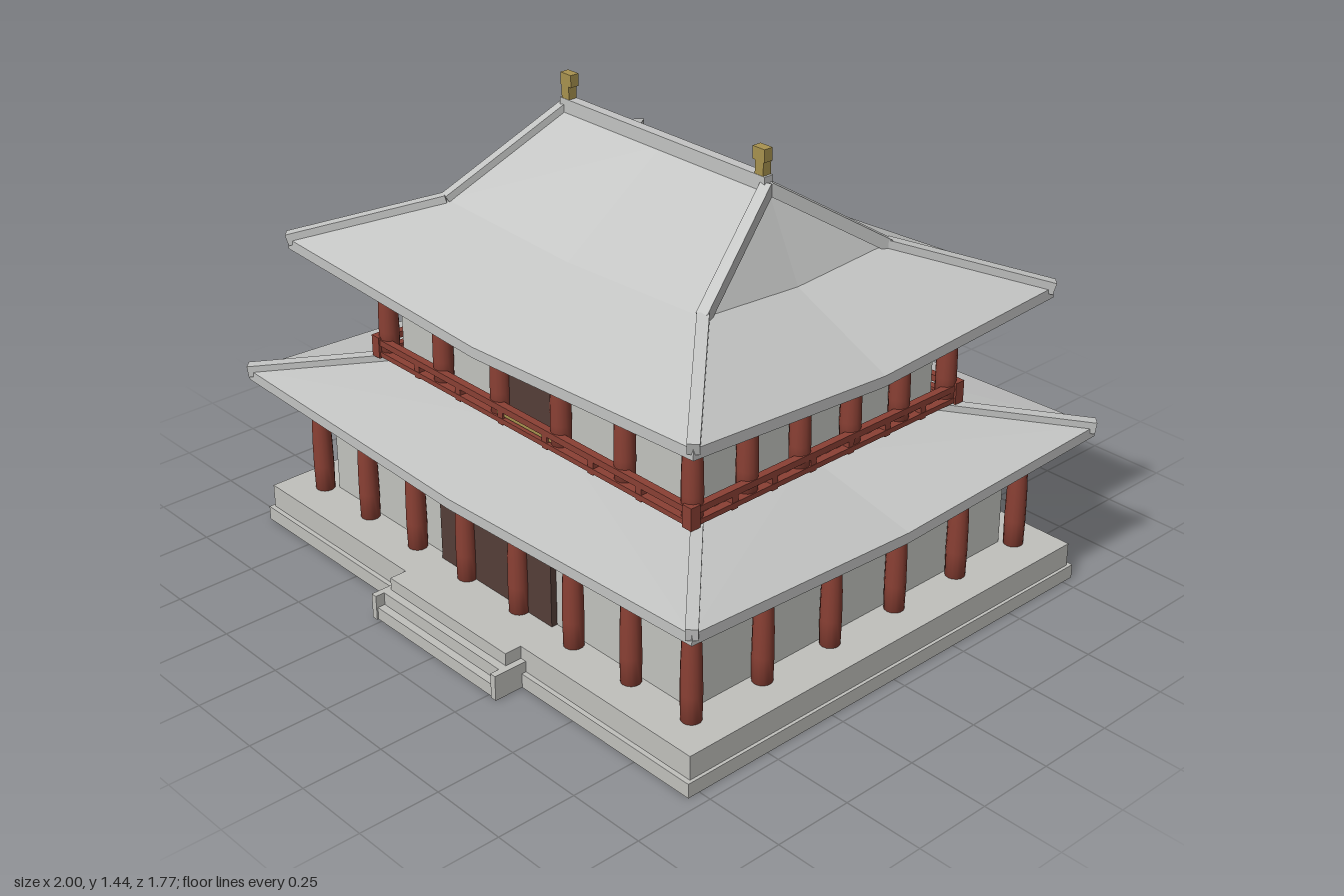
import * as THREE from 'three';

const mat = (name, color, extra = {}) => {
  const m = new THREE.MeshStandardMaterial({ color, ...extra });
  m.name = name;
  return m;
};

export function createModel() {
  const stone = mat('stone', 0xc0c0bc);
  const plaster = mat('plaster', 0xc2c3be);
  const tile = mat('roof tile', 0xc3c4c3);
  const red = mat('red timber', 0x8a4034);
  const dark = mat('dark timber', 0x543e38);
  const gold = mat('gold', 0xa8924f);

  const root = new THREE.Group();
  root.name = 'pavilion';

  const add = (name, geo, material, parent = root) => {
    const m = new THREE.Mesh(geo, material);
    m.name = name;
    parent.add(m);
    return m;
  };
  // Box given by its limits on each axis
  const box = (name, material, x0, x1, y0, y1, z0, z1, parent = root) => {
    const m = add(name, new THREE.BoxGeometry(x1 - x0, y1 - y0, z1 - z0), material, parent);
    m.position.set((x0 + x1) / 2, (y0 + y1) / 2, (z0 + z1) / 2);
    return m;
  };
  const slab = (name, material, x, y0, y1, z, parent) => box(name, material, -x, x, y0, y1, -z, z, parent);
  const group = (name) => {
    const g = new THREE.Group();
    g.name = name;
    root.add(g);
    return g;
  };

  // Two-tier stone platform
  slab('platformBase', stone, 0.96, 0, 0.045, 0.79);
  slab('platformTop', stone, 0.95, 0.045, 0.12, 0.775);

  // Stairs with cheek walls, front and back
  for (const s of [1, -1]) {
    const stairs = group(s > 0 ? 'frontStairs' : 'backStairs');
    [[0.04, 0.88], [0.08, 0.855], [0.12, 0.83]].forEach(([h, z]) =>
      box('step', stone, -0.265, 0.265, 0, h, 0.76, z, stairs));
    for (const x of [-0.275, 0.275]) box('cheekWall', stone, x - 0.01, x + 0.01, 0, 0.08, 0.76, 0.885, stairs);
    if (s < 0) stairs.rotation.y = Math.PI;
  }

  // Evenly spaced points around a rectangle, corners included once
  const perimeter = (x, z, nx, nz) => {
    const pts = [];
    for (let i = 0; i < nx; i++) for (const s of [1, -1]) pts.push([-x + (2 * x * i) / (nx - 1), s * z]);
    for (let i = 1; i < nz - 1; i++) for (const s of [1, -1]) pts.push([s * x, -z + (2 * z * i) / (nz - 1)]);
    return pts;
  };

  // Swelling columns with square capitals
  const colonnade = (name, x, z, nx, nz, y0, y1) => {
    const g = group(name);
    const h = y1 - y0;
    const profile = [[0, 0], [0.03, 0], [0.0315, 0.25], [0.0305, 0.5], [0.027, 0.75], [0.022, 0.95], [0.0, 0.95]]
      .map(([r, t]) => new THREE.Vector2(r, t * h));
    const shaft = new THREE.LatheGeometry(profile, 14);
    for (const [px, pz] of perimeter(x, z, nx, nz)) {
      add('column', shaft, red, g).position.set(px, y0, pz);
      box('capital', red, px - 0.032, px + 0.032, y1 - 0.022, y1, pz - 0.032, pz + 0.032, g);
    }
  };

  // Lower storey
  slab('lowerWall', plaster, 0.8, 0.12, 0.42, 0.63);
  box('lowerDoor', dark, -0.25, 0.25, 0.12, 0.37, 0.6, 0.65);
  box('lowerLintel', gold, -0.265, 0.265, 0.367, 0.402, 0.6, 0.688);
  colonnade('lowerColumns', 0.832, 0.66, 8, 6, 0.12, 0.457);

  // Upper storey
  slab('balconyFloor', red, 0.69, 0.587, 0.6, 0.53);
  slab('upperWall', plaster, 0.635, 0.58, 0.86, 0.475);
  box('upperDoor', dark, -0.125, 0.125, 0.6, 0.81, 0.45, 0.495);
  box('upperLintel', gold, -0.175, 0.175, 0.806, 0.83, 0.45, 0.533);
  box('doorSill', gold, -0.13, 0.13, 0.613, 0.624, 0.45, 0.53);
  colonnade('upperColumns', 0.665, 0.503, 6, 6, 0.6, 0.892);

  // Balcony railing
  const railing = group('railing');
  const rx = 0.685, rz = 0.525;
  for (const [y0, y1, w] of [[0.628, 0.648, 0.012], [0.592, 0.608, 0.012]]) {
    for (const s of [1, -1]) {
      box('rail', red, -rx, rx, y0, y1, s * rz - w, s * rz + w, railing);
      box('rail', red, s * rx - w, s * rx + w, y0, y1, -rz, rz, railing);
    }
  }
  for (const [x, z] of perimeter(rx, rz, 8, 8)) {
    const corner = Math.abs(x) > rx - 0.01 && Math.abs(z) > rz - 0.01;
    const w = corner ? 0.017 : 0.011;
    box('railPost', red, x - w, x + w, 0.587, corner ? 0.656 : 0.646, z - w, z + w, railing);
  }

  // Eight-point ring: corners sit higher than side middles
  const signs = [[1, 1], [1, 0], [1, -1], [0, -1], [-1, -1], [-1, 0], [-1, 1], [0, 1]];
  const ring = (x, z, yCorner, yMid) =>
    signs.map(([a, b]) => new THREE.Vector3(a * x, a && b ? yCorner : yMid, b * z));
  const loft = (rings) => {
    const pts = [];
    for (let k = 0; k + 1 < rings.length; k++) {
      const a = rings[k], b = rings[k + 1];
      for (let i = 0; i < 8; i++) {
        const j = (i + 1) % 8;
        // diagonals run from the corners so that both halves mirror
        if (i % 2 === 0) pts.push(a[i], a[j], b[j], a[i], b[j], b[i]);
        else pts.push(a[i], a[j], b[i], a[j], b[j], b[i]);
      }
    }
    const geo = new THREE.BufferGeometry().setFromPoints(pts);
    geo.computeVertexNormals();
    return geo;
  };

  // Square bar laid between two points
  const bar = (name, a, b, w, h, material, parent) => {
    const m = add(name, new THREE.BoxGeometry(w, h, a.distanceTo(b)), material, parent);
    m.position.copy(a).lerp(b, 0.5);
    m.lookAt(b);
  };

  // Roof: tiled loft, dark soffit, bars along the hips
  const roof = (name, eave, upperRings) => {
    const g = group(name);
    const [x, z, yc, ym] = eave;
    const t = 0.033;
    const bottom = ring(x, z, yc - t, ym - t);
    const rings = [ring(x, z, yc, ym), ...upperRings.map((r) => ring(...r))];
    add('tiles', loft([bottom, ...rings]), tile, g);
    add('soffit', loft([ring(0, 0, ym - t, ym - t), bottom]), dark, g);
    for (let k = 0; k + 1 < rings.length; k++) {
      for (const c of [0, 2, 4, 6]) bar('hipRidge', rings[k][c], rings[k + 1][c], 0.034, 0.036, tile, g);
    }
    return g;
  };
  roof('lowerRoof', [0.985, 0.805, 0.522, 0.489], [[0.6, 0.42, 0.585, 0.572]]);
  const top = roof('upperRoof', [0.875, 0.7, 0.963, 0.923], [[0.545, 0.355, 1.092, 1.07], [0.42, 0, 1.325, 1.325]]);

  // Main ridge with a hooked finial at each end
  slab('mainRidge', tile, 0.425, 1.315, 1.358, 0.016, top);
  for (const s of [1, -1]) {
    const f = group(s > 0 ? 'leftFinial' : 'rightFinial');
    box('finialPost', gold, -0.016, 0.016, 1.35, 1.41, -0.015, 0.015, f);
    box('finialHook', gold, -0.026, 0.02, 1.398, 1.436, -0.015, 0.015, f);
    f.position.x = s * 0.402;
    if (s < 0) f.rotation.y = Math.PI;
  }

  return root;
}
